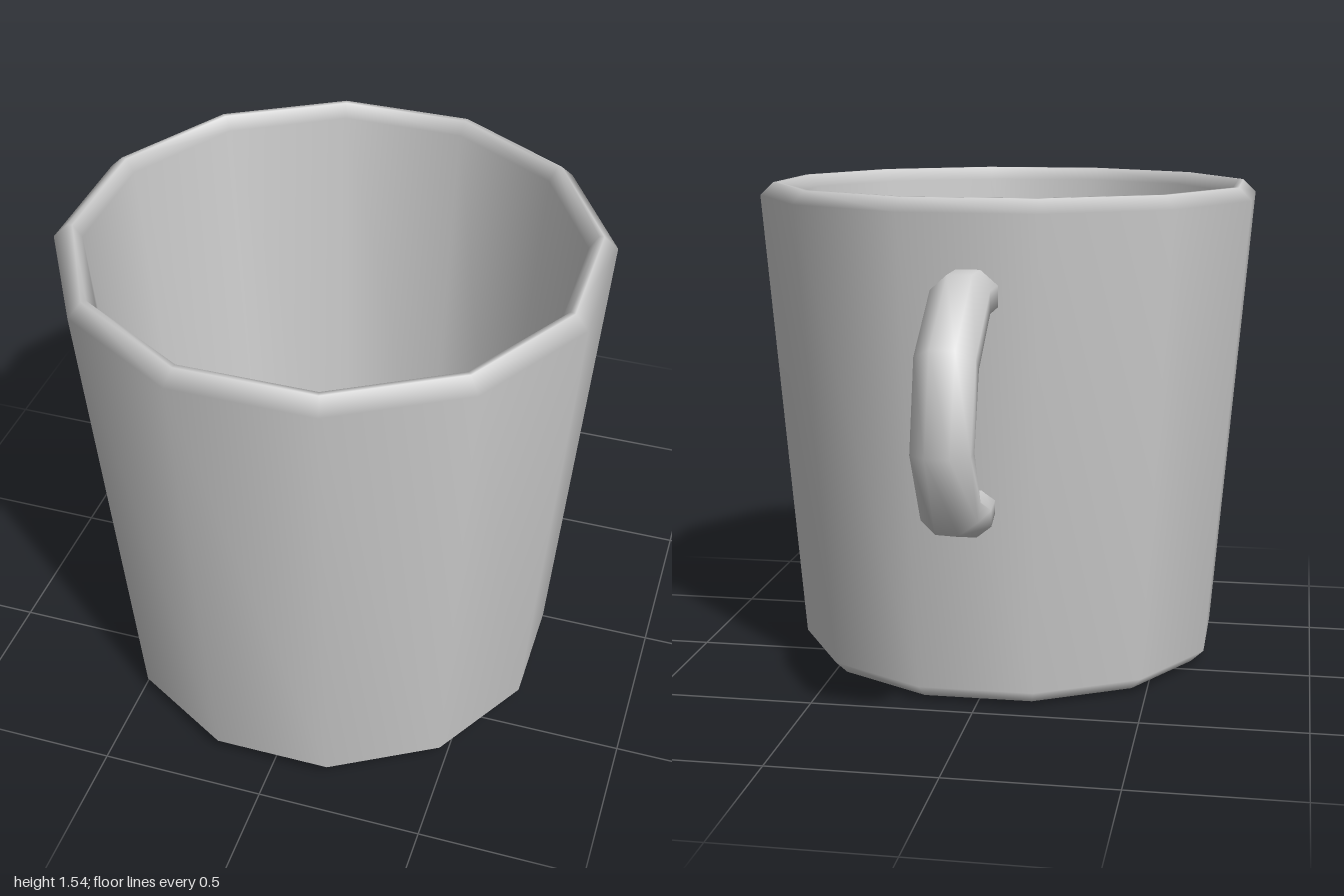
import * as THREE from 'three';

const material = new THREE.MeshStandardMaterial({ color: 0xcccccc });
const SIDES = 12;
const CENTRE_Z = 0.22;

// Twelve-sided cup: profile runs from under the base, up the outside, over the rim, down to the floor.
// Radii are measured to the middle of each flat side.
function makeCup() {
  const profile = [
    [0, 0], [0.58, 0.005], [0.62, 0.01], [0.66, 0.05], [0.775, 1.5],
    [0.735, 1.54], [0.72, 1.54], [0.695, 1.5], [0.577, 0.08], [0.56, 0.075], [0, 0.075],
  ];
  const scale = 1 / Math.cos(Math.PI / SIDES);
  const points = profile.map(([r, y]) => new THREE.Vector2(r * scale, y));
  const cup = new THREE.Mesh(new THREE.LatheGeometry(points, SIDES, Math.PI / SIDES), material);
  cup.name = 'cup';
  cup.position.z = CENTRE_Z;
  return cup;
}

// Eight-sided handle: each section is [outer z, outer y, inner z, inner y, half width].
function makeHandle() {
  const sections = [
    [-0.50, 1.34, -0.50, 1.19, 0.085],
    [-0.67, 1.34, -0.66, 1.19, 0.085],
    [-0.92, 1.17, -0.81, 1.08, 0.085],
    [-1.00, 0.89, -0.86, 0.89, 0.083],
    [-0.87, 0.65, -0.76, 0.755, 0.08],
    [-0.59, 0.57, -0.60, 0.69, 0.075],
    [-0.45, 0.595, -0.45, 0.685, 0.065],
  ];
  const sides = 8;
  const positions = [];
  const indices = [];
  const scale = 1 / Math.cos(Math.PI / sides);
  sections.forEach(([oz, oy, iz, iy, w], i) => {
    for (let j = 0; j < sides; j++) {
      const t = ((j + 0.5) / sides) * Math.PI * 2;
      const c = Math.cos(t) * scale / 2;
      positions.push(
        Math.sin(t) * scale * w,
        (oy + iy) / 2 + c * (oy - iy),
        (oz + iz) / 2 + c * (oz - iz),
      );
      if (i === sections.length - 1) continue;
      const k = (j + 1) % sides;
      const a = i * sides + j, b = i * sides + k;
      indices.push(a, b, a + sides, b, b + sides, a + sides);
    }
  });
  const geometry = new THREE.BufferGeometry();
  geometry.setAttribute('position', new THREE.Float32BufferAttribute(positions, 3));
  geometry.setIndex(indices);
  geometry.computeVertexNormals();
  const handle = new THREE.Mesh(geometry, material);
  handle.name = 'handle';
  return handle;
}

export function createModel() {
  const mug = new THREE.Group();
  mug.name = 'mug';
  mug.add(makeCup(), makeHandle());
  return mug;
}
